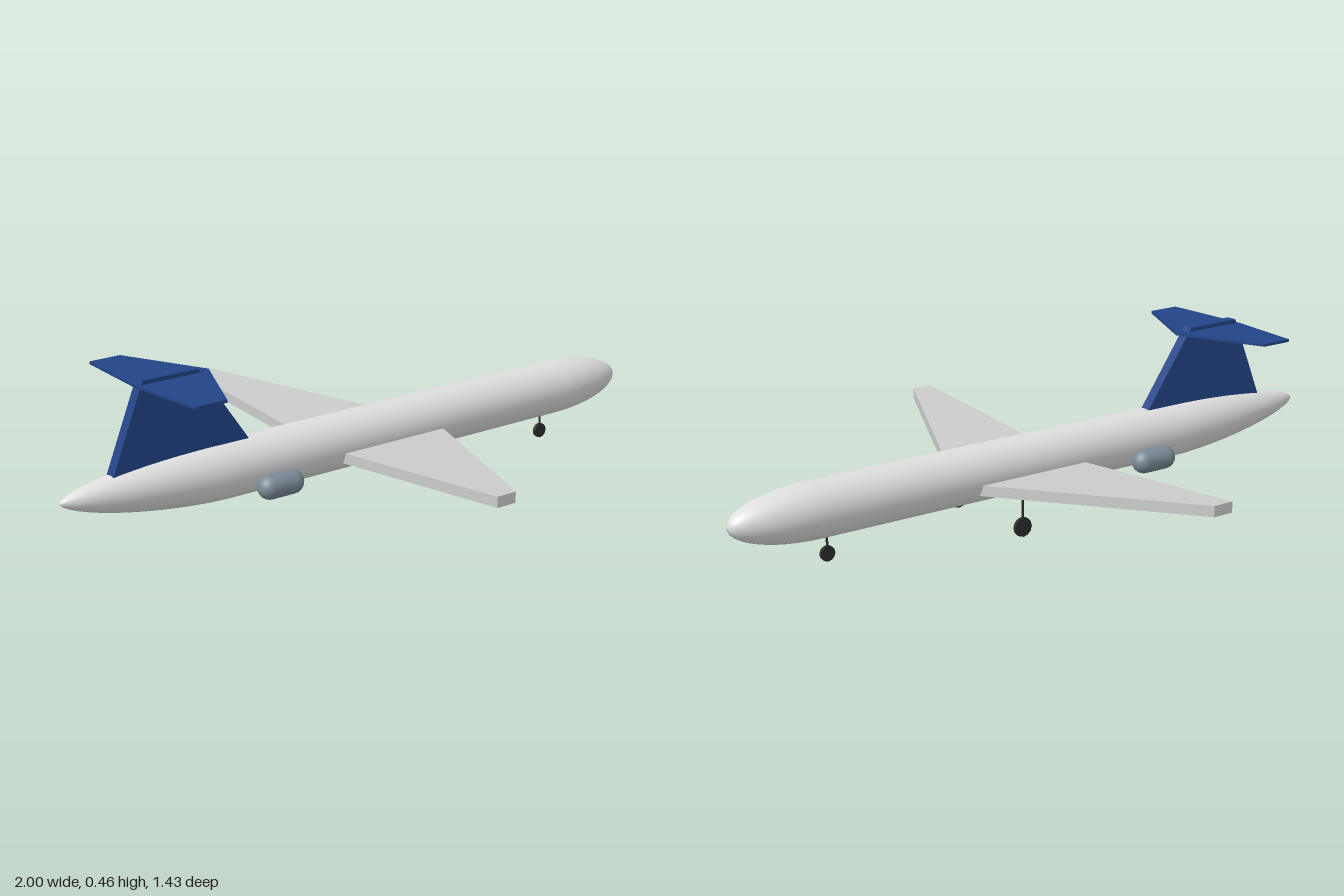
import * as THREE from 'three';

const lerp = THREE.MathUtils.lerp;

export function createModel() {
  const plane = new THREE.Group();
  plane.name = 'airliner';

  const paint = (name, color) => {
    const m = new THREE.MeshStandardMaterial({ color });
    m.name = name;
    return m;
  };
  const white = paint('fuselageWhite', 0xdedede);
  const silver = paint('wingSilver', 0xcccccc);
  const blue = paint('tailBlue', 0x234488);
  const slate = paint('engineSlate', 0x7c8a96);
  const black = paint('gearBlack', 0x2b2b2b);

  const add = (name, geometry, material, x = 0, y = 0, z = 0) => {
    const mesh = new THREE.Mesh(geometry, material);
    mesh.name = name;
    mesh.position.set(x, y, z);
    plane.add(mesh);
    return mesh;
  };

  // Tapered panel running sideways; each end is { aft, fore, bottom, top, z }
  const panel = (root, tip, side) => {
    const geo = new THREE.BoxGeometry(1, 1, 1);
    const p = geo.attributes.position;
    for (let i = 0; i < p.count; i++) {
      const t = 0.5 + side * p.getZ(i);
      const at = (key) => lerp(root[key], tip[key], t);
      p.setXYZ(i,
        p.getX(i) < 0 ? at('aft') : at('fore'),
        p.getY(i) < 0 ? at('bottom') : at('top'),
        side * at('z'));
    }
    geo.computeVertexNormals();
    return geo;
  };

  // Fuselage: long taper aft, rounded nose, tail cone swept slightly up
  const R = 0.081, tailStart = -0.5, noseStart = 0.73;
  const profile = [];
  for (let i = 0; i <= 16; i++) {
    const u = Math.cos((i / 16) * Math.PI / 2);
    profile.push(new THREE.Vector2(R * Math.pow(Math.max(0, 1 - Math.pow(u, 1.7)), 0.6), tailStart - 0.5 * u));
  }
  for (let i = 0; i <= 12; i++) {
    const a = (i / 12) * Math.PI / 2;
    profile.push(new THREE.Vector2(R * Math.cos(a), noseStart + (1 - noseStart) * Math.sin(a)));
  }
  const body = new THREE.LatheGeometry(profile, 40);
  body.rotateZ(-Math.PI / 2);
  const bp = body.attributes.position;
  for (let i = 0; i < bp.count; i++) {
    const u = Math.max(0, (tailStart - bp.getX(i)) / 0.5);
    bp.setY(i, bp.getY(i) + 0.018 * Math.pow(u, 1.3));
  }
  add('fuselage', body, white, 0, 0.155, 0);

  // Fin
  const fin = new THREE.Shape([
    new THREE.Vector2(-0.845, 0.215), new THREE.Vector2(-0.395, 0.215),
    new THREE.Vector2(-0.57, 0.463), new THREE.Vector2(-0.745, 0.463),
  ]);
  add('tailFin', new THREE.ExtrudeGeometry(fin, { depth: 0.033, bevelEnabled: false }), blue, 0, 0, -0.0165);

  for (const [side, label] of [[1, 'left'], [-1, 'right']]) {
    // Wing with dihedral
    add(label + 'Wing', panel(
      { aft: -0.122, fore: 0.245, bottom: 0.112, top: 0.143, z: 0.068 },
      { aft: -0.118, fore: -0.055, bottom: 0.167, top: 0.198, z: 0.714 }, side), silver);

    // T-tail half
    add(label + 'Stabiliser', panel(
      { aft: -0.76, fore: -0.525, bottom: 0.443, top: 0.451, z: 0 },
      { aft: -0.74, fore: -0.643, bottom: 0.443, top: 0.451, z: 0.257 }, side), blue);

    // Engine pod
    const pod = new THREE.CapsuleGeometry(0.035, 0.075, 6, 20);
    pod.rotateZ(Math.PI / 2);
    add(label + 'Engine', pod, slate, -0.362, 0.112, side * 0.098);
  }

  // Landing gear: strut and wheel
  const gear = (name, x, z, r, top) => {
    const wheel = new THREE.CylinderGeometry(r, r, 0.011, 12);
    wheel.rotateX(Math.PI / 2);
    add(name + 'Wheel', wheel, black, x, r, z);
    const strut = new THREE.CylinderGeometry(0.0035, 0.0035, top - r, 8);
    add(name + 'Strut', strut, black, x, (top + r) / 2, z);
  };
  gear('leftMain', 0.16, 0.157, 0.028, 0.13);
  gear('rightMain', 0.16, -0.157, 0.028, 0.13);
  gear('nose', 0.7, 0, 0.022, 0.1);

  return plane;
}
